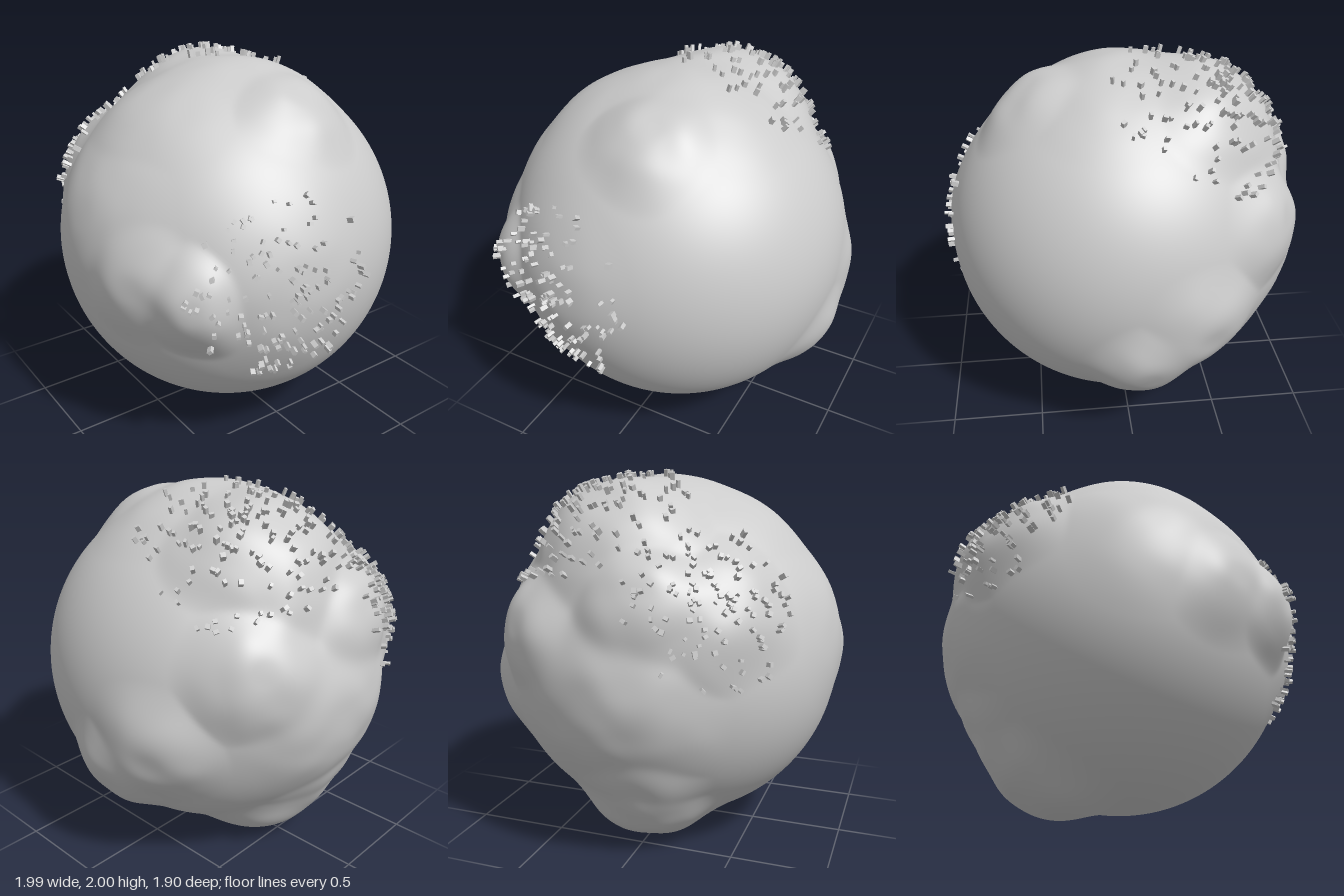
import * as THREE from 'three';
import { mergeVertices, mergeGeometries } from 'three/addons/utils/BufferGeometryUtils.js';

const SEA = 0.935;
const CENTER_Y = 0.975;

// Land masses: direction x, y, z, angular radius, height above the sea
const LANDS = [
  [-0.56, 0.81, -0.15, 0.65, 0.135],
  [-0.88, 0.44, 0.16, 0.45, 0.11],
  [-0.74, 0.42, 0.50, 0.50, 0.07],
  [0.50, 0.86, -0.10, 0.42, 0.065],
  [0.00, 0.98, -0.10, 0.70, 0.045],
  [0.00, 0.85, 0.45, 0.60, 0.025],
  [0.70, -0.02, 0.72, 0.36, 0.09],
  [0.42, 0.02, 0.90, 0.42, 0.05],
  [0.95, 0.05, 0.30, 0.60, 0.025],
  [0.05, 0.32, 0.94, 0.60, 0.025],
  [-0.08, -0.46, -0.88, 0.40, 0.075],
  [-0.36, -0.25, -0.88, 0.45, 0.06],
  [-0.50, -0.87, 0.02, 0.52, 0.12],
  [-0.76, -0.64, 0.05, 0.45, 0.05],
  [-0.98, -0.05, -0.05, 0.75, 0.055],
  [-0.82, 0.26, -0.52, 0.48, 0.085],
].map(([x, y, z, radius, height]) => ({ dir: new THREE.Vector3(x, y, z).normalize(), radius, height }));

// Seeded random numbers
function seeded(seed) {
  return () => {
    seed = (seed * 16807) % 2147483647;
    return seed / 2147483647;
  };
}

// Soft rolling noise from crossed sine waves
function ripple(p, f) {
  return (Math.sin(f * p.x + 1.7 * Math.sin(f * 0.6 * p.y)) +
    Math.sin(f * p.y + 1.3 + 1.7 * Math.sin(f * 0.6 * p.z)) +
    Math.sin(f * p.z + 2.1 + 1.7 * Math.sin(f * 0.6 * p.x))) / 3;
}

// Distance of the ground from the planet's centre along a direction
function groundRadius(d) {
  const warped = new THREE.Vector3(
    d.x + 0.03 * Math.sin(9 * d.y + 4 * d.z),
    d.y + 0.03 * Math.sin(9 * d.z + 4 * d.x + 1),
    d.z + 0.03 * Math.sin(9 * d.x + 4 * d.y + 2),
  ).normalize();
  let sum = 0;
  for (const { dir, radius, height } of LANDS) {
    const t = 1 - THREE.MathUtils.smoothstep(warped.angleTo(dir), radius * 0.15, radius);
    sum += Math.pow(t * height, 4);
  }
  const land = Math.pow(sum, 1 / 4);
  const relief = 0.006 * ripple(d, 11) + 0.006 * ripple(d, 21);
  return SEA + land + relief * Math.min(1, land / 0.06);
}

// Globe with raised land
function makePlanet() {
  let geometry = new THREE.IcosahedronGeometry(1, 60);
  geometry.deleteAttribute('uv');
  geometry.deleteAttribute('normal');
  geometry = mergeVertices(geometry, 1e-5);
  const pos = geometry.attributes.position;
  const d = new THREE.Vector3();
  for (let i = 0; i < pos.count; i++) {
    d.fromBufferAttribute(pos, i).normalize();
    d.multiplyScalar(groundRadius(d));
    pos.setXYZ(i, d.x, d.y, d.z);
  }
  geometry.computeVertexNormals();
  return geometry;
}

// A cluster of small blocks standing upright on the ground
function makeCity(center, spread, count, seed) {
  const random = seeded(seed);
  const up = new THREE.Vector3(0, 1, 0);
  const axis = new THREE.Vector3(...center).normalize();
  const side = new THREE.Vector3().crossVectors(axis, up).normalize();
  const other = new THREE.Vector3().crossVectors(axis, side);
  const blocks = [];
  for (let i = 0; i < count; i++) {
    const angle = random() * Math.PI * 2;
    const away = spread * Math.pow(random(), 0.75);
    const d = axis.clone().multiplyScalar(Math.cos(away))
      .addScaledVector(side, Math.sin(away) * Math.cos(angle))
      .addScaledVector(other, Math.sin(away) * Math.sin(angle));
    const height = 0.025 + 0.025 * random();
    const block = new THREE.BoxGeometry(0.013 + 0.013 * random(), height, 0.013 + 0.013 * random());
    block.rotateY(random() * Math.PI);
    block.applyQuaternion(new THREE.Quaternion().setFromUnitVectors(up, d));
    d.multiplyScalar(groundRadius(d) + height * 0.35);
    block.translate(d.x, d.y, d.z);
    blocks.push(block);
  }
  return mergeGeometries(blocks);
}

export function createModel() {
  const model = new THREE.Group();
  model.name = 'planet';
  const material = new THREE.MeshStandardMaterial({ color: 0xcccccc });
  const add = (name, geometry) => {
    const mesh = new THREE.Mesh(geometry, material);
    mesh.name = name;
    mesh.position.y = CENTER_Y;
    model.add(mesh);
  };

  add('globe', makePlanet());
  add('topCity', makeCity([-0.44, 0.8, -0.3], 0.55, 150, 11));
  add('rightCity', makeCity([-0.75, 0.43, 0.49], 0.46, 120, 47));
  add('leftCity', makeCity([0.93, 0.03, 0.27], 0.53, 130, 83));
  return model;
}
